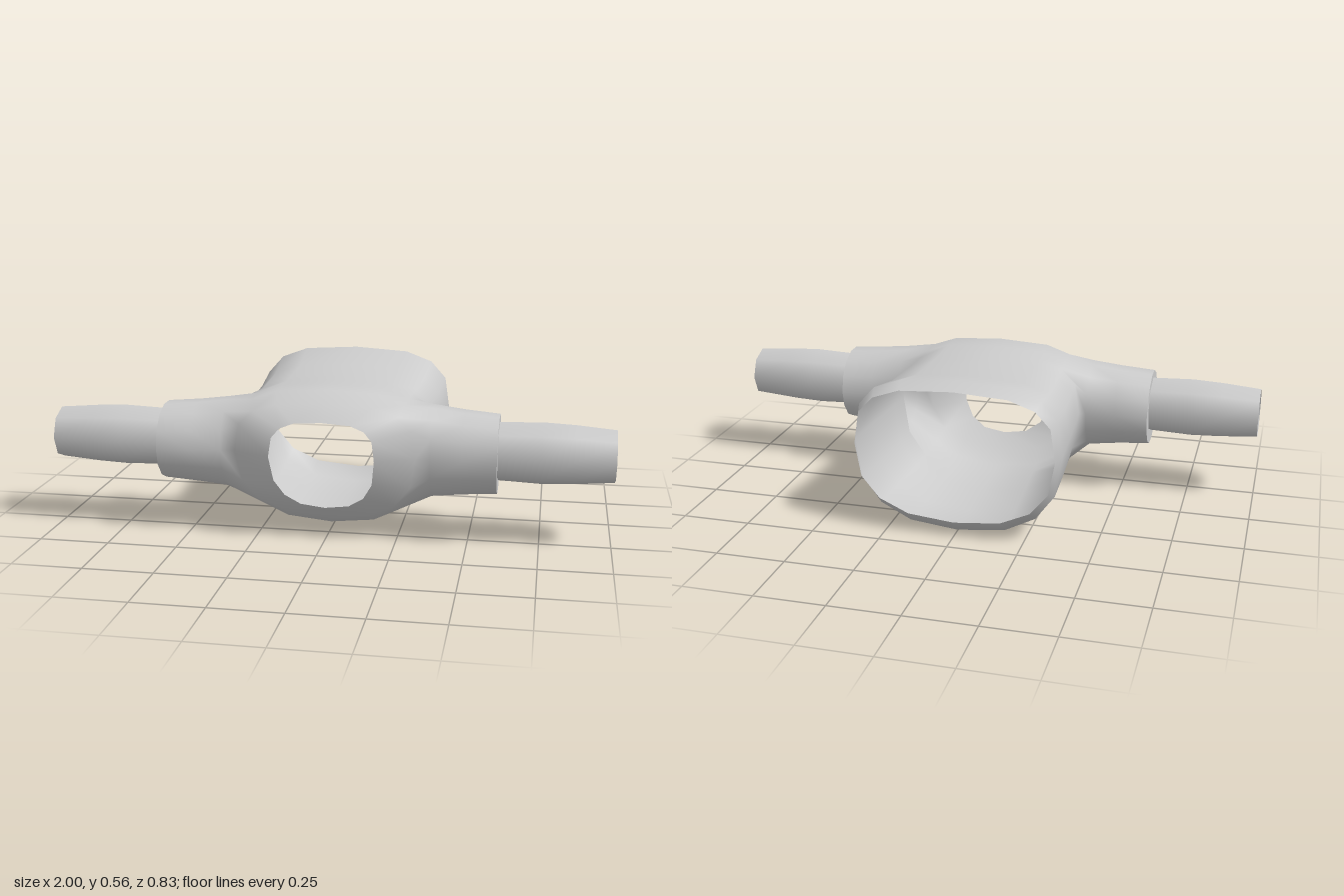
import * as THREE from 'three';

const COLS = 16;                 // columns around the torso, column 0 points to +x
const FIRST = 4, LAST = 7;       // torso rings between which the sleeves branch off
const LOOP = 14;                 // points around each armhole
const STEP = (Math.PI * 2) / LOOP;
const START = -Math.PI / 2 - 1.5 * STEP;

// Torso rings: z at top, z at side, z at bottom, half width, top y, bottom y
const RINGS = [
  [-0.415, -0.415, -0.415, 0.36, 0.54, 0.055],
  [-0.365, -0.365, -0.365, 0.375, 0.565, 0.005],
  [-0.19, -0.19, -0.19, 0.365, 0.527, 0.001],
  [0, 0, 0, 0.353, 0.527, 0.008],
  [0.09, 0.09, 0.09, 0.345, 0.53, 0.016],
  [0.17, 0.18, 0.15, 0.345, 0.533, 0.02],
  [0.27, 0.28, 0.21, 0.34, 0.533, 0.027],
  [0.345, 0.355, 0.28, 0.32, 0.5, 0.07],
  [0.395, 0.412, 0.335, 0.185, 0.445, 0.12],
];

// Sleeve rings: x, centre y, centre z, radius in y, radius in z
const SLEEVE = [
  [0.37, 0.32, 0.226, 0.164, 0.134],
  [0.48, 0.32, 0.231, 0.15, 0.141],
  [0.6, 0.32, 0.235, 0.14, 0.143],
];

function shirtGeometry() {
  const pos = [], idx = [];
  const quad = (a, b, c, d, flip) =>
    flip ? idx.push(a, c, b, a, d, c) : idx.push(a, b, c, a, c, d);
  const at = (j, i) => j * COLS + ((i + COLS) % COLS);

  // Torso from hem to neck, with rounded-box cross-sections
  for (const [zTop, zSide, zBot, w, top, bot] of RINGS) {
    const cy = 0.32;
    for (let i = 0; i < COLS; i++) {
      const t = (i / COLS) * Math.PI * 2;
      const c = Math.cos(t), s = Math.sin(t), p = s > 0.01 ? 0.65 : 0.8;
      const h = s > 0 ? top - cy : cy - bot;
      pos.push(
        w * Math.sign(c) * Math.abs(c) ** p,
        cy + h * Math.sign(s) * Math.abs(s) ** p,
        THREE.MathUtils.lerp(zSide, s > 0 ? zTop : zBot, Math.abs(s)),
      );
    }
  }
  for (let j = 0; j < RINGS.length - 1; j++) {
    for (let i = 0; i < COLS; i++) {
      const k = i % 8;
      const armhole = j >= FIRST && j < LAST && (k < 2 || k >= 6);
      if (!armhole) quad(at(j, i), at(j, i + 1), at(j + 1, i + 1), at(j + 1, i));
    }
  }

  // Sleeves grow out of the armhole edges
  for (const side of [1, -1]) {
    const col = (c) => (side > 0 ? c : 8 - c);
    let prev = [];
    for (let j = FIRST; j < LAST; j++) prev.push(at(j, col(-2)));
    for (let c = -2; c < 2; c++) prev.push(at(LAST, col(c)));
    for (let j = LAST; j > FIRST; j--) prev.push(at(j, col(2)));
    for (let c = 2; c > -2; c--) prev.push(at(FIRST, col(c)));
    for (const [x, cy, cz, ry, rz] of SLEEVE) {
      const next = [];
      for (let k = 0; k < LOOP; k++) {
        const a = START + k * STEP;
        next.push(pos.length / 3);
        pos.push(side * x, cy + ry * Math.sin(a), cz + rz * Math.cos(a));
      }
      for (let k = 0; k < LOOP; k++) {
        const n = (k + 1) % LOOP;
        quad(prev[k], next[k], next[n], prev[n], side < 0);
      }
      prev = next;
    }
  }

  const geo = new THREE.BufferGeometry();
  geo.setAttribute('position', new THREE.Float32BufferAttribute(pos, 3));
  geo.setIndex(idx);
  geo.computeVertexNormals();
  return geo;
}

export function createModel() {
  const model = new THREE.Group();
  model.name = 'shirtTorso';
  const grey = new THREE.MeshStandardMaterial({ color: 0xcccccc, side: THREE.DoubleSide });
  grey.name = 'light grey';
  const add = (name, geo) => {
    const mesh = new THREE.Mesh(geo, grey);
    mesh.name = name;
    model.add(mesh);
    return mesh;
  };

  add('shirt', shirtGeometry());

  const armProfile = [[0.105, 0.6], [0.111, 0.75], [0.106, 0.86], [0.094, 1]]
    .map(([r, x]) => new THREE.Vector2(r, x));
  for (const side of [1, -1]) {
    const label = side > 0 ? 'left' : 'right';

    // Flat disc closing the sleeve
    const [x, cy, cz, ry, rz] = SLEEVE[SLEEVE.length - 1];
    const disc = new THREE.CircleGeometry(1, LOOP, START);
    disc.scale(rz, ry, 1).rotateY(side * Math.PI / 2);
    add(label + 'SleeveEnd', disc).position.set(side * x, cy, cz);

    // Open eight-sided forearm tube
    const arm = new THREE.LatheGeometry(armProfile, 8);
    arm.rotateZ(-side * Math.PI / 2);
    add(label + 'Arm', arm).position.set(0, 0.33, 0.238);
  }
  return model;
}
